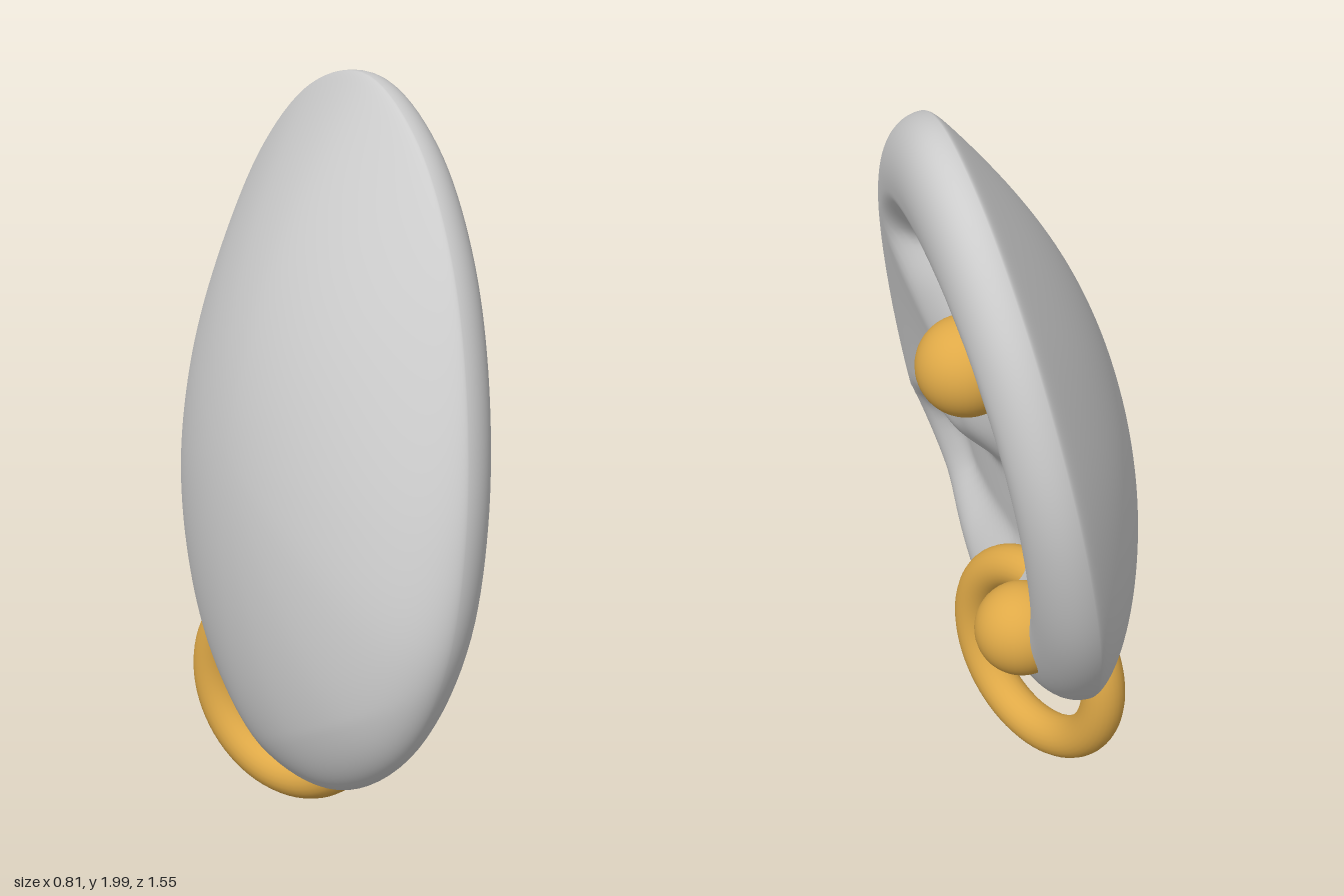
import * as THREE from 'three';
import { mergeVertices } from 'three/addons/utils/BufferGeometryUtils.js';

const grey = new THREE.MeshStandardMaterial({ color: 0xcccccc });
const gold = new THREE.MeshStandardMaterial({ color: 0xdfa947 });
const { clamp, smoothstep } = THREE.MathUtils;

// closed smooth curve through (z, y) pairs
const loop = (pairs) => new THREE.CatmullRomCurve3(
  pairs.map(([z, y]) => new THREE.Vector3(0, y, z)), true, 'centripetal');

// outer edge of the ear and edge of its hollow
const outline = loop([
  [0.755, 1.05], [0.64, 1.395], [0.456, 1.686], [0.2, 1.905], [-0.1, 2], [-0.39, 1.915],
  [-0.61, 1.7], [-0.737, 1.42], [-0.775, 1.155], [-0.726, 0.84], [-0.6, 0.6], [-0.39, 0.385],
  [-0.18, 0.27], [0.085, 0.212], [0.4, 0.27], [0.64, 0.455], [0.765, 0.74]]);
const hollow = loop([
  [-0.1, 1.73], [0.15, 1.68], [0.33, 1.52], [0.24, 1.34], [0.08, 1.17], [0.06, 1.02], [0.2, 0.92],
  [0.45, 0.89], [0.64, 0.76], [0.62, 0.5], [0.38, 0.39], [0, 0.43], [-0.3, 0.52],
  [-0.55, 0.8], [-0.66, 1.15], [-0.6, 1.45], [-0.4, 1.67]]).getPoints(120);

// distance to the hollow's edge, positive inside
function depthInside(z, y) {
  let best = Infinity, inside = false;
  for (let i = 0; i < hollow.length - 1; i++) {
    const a = hollow[i], b = hollow[i + 1];
    const dz = b.z - a.z, dy = b.y - a.y;
    const t = clamp(((z - a.z) * dz + (y - a.y) * dy) / (dz * dz + dy * dy || 1), 0, 1);
    best = Math.min(best, Math.hypot(z - a.z - t * dz, y - a.y - t * dy));
    if ((a.y > y) !== (b.y > y) && z < a.z + ((y - a.y) / dy) * dz) inside = !inside;
  }
  return inside ? best : -best;
}

// height of the listening side above the tilted mid plane
function faceHeight(r, z, y) {
  const rim = 0.78;
  const crown = r > rim
    ? 0.14 * Math.sqrt(Math.max(0, 1 - ((r - rim) / (1 - rim)) ** 2))
    : 0.09 + 0.05 * (1 - (1 - (r / rim) ** 2) ** 2);
  // the wall is steep at the folds, soft at the middle ridge, the back and the lobe
  const ridge = Math.exp(-((z - 0.1) ** 2 + (y - 1.33) ** 2) / 0.03);
  const width = 0.14 + 0.15 * ridge + 0.35 * Math.max(0, 0.1 - z) + 0.5 * Math.max(0, 0.75 - y);
  return crown - 0.115 * smoothstep(depthInside(z, y), -0.04, width);
}

// depth of the back, fuller towards the lower front, with a rounded edge
function backDepth(r, z, y) {
  const fall = Math.max(0, 1 - r * r);
  const power = Math.max(0.6, 0.9 + 0.35 * (y - 1.1) - 0.2 * z);
  return 0.25 * fall ** power + 0.08 * Math.sqrt(fall);
}

// ear body: a sphere reshaped to the outline, domed behind and hollowed in front
function earGeometry() {
  let geo = new THREE.SphereGeometry(1, 128, 128);
  geo.deleteAttribute('uv');
  geo.deleteAttribute('normal');
  geo = mergeVertices(geo, 1e-5);
  const pos = geo.attributes.position;
  for (let i = 0; i < pos.count; i++) {
    const r = Math.hypot(pos.getX(i), pos.getZ(i));
    const turn = (Math.atan2(pos.getZ(i), pos.getX(i)) / (2 * Math.PI) + 1) % 1;
    const edge = outline.getPointAt(turn);
    const z = edge.z * r, y = 1.1 + (edge.y - 1.1) * r;
    const h = pos.getY(i) > 0 ? faceHeight(r, z, y) : -backDepth(r, z, y);
    pos.setXYZ(i, 0.198 * (y - 1.1) - 0.186 * z + h, y, z);
  }
  geo.computeVertexNormals();
  return geo;
}

export function createModel() {
  const model = new THREE.Group();
  const add = (name, geometry, material, x, y, z) => {
    const mesh = new THREE.Mesh(geometry, material);
    mesh.name = name;
    mesh.position.set(x, y, z);
    model.add(mesh);
    return mesh;
  };

  add('ear', earGeometry(), grey, 0, 0, 0);

  // ball studs
  const ball = new THREE.SphereGeometry(0.125, 40, 28);
  add('upperStud', ball, gold, 0.287, 1.525, -0.4);
  add('lowerStud', ball, gold, 0.1, 0.64, -0.335);

  // ring through the lobe
  const ring = add('earring', new THREE.TorusGeometry(0.26, 0.06, 24, 72), gold, -0.085, 0.325, -0.077);
  ring.rotation.y = 0.27 - Math.PI / 2;
  return model;
}
